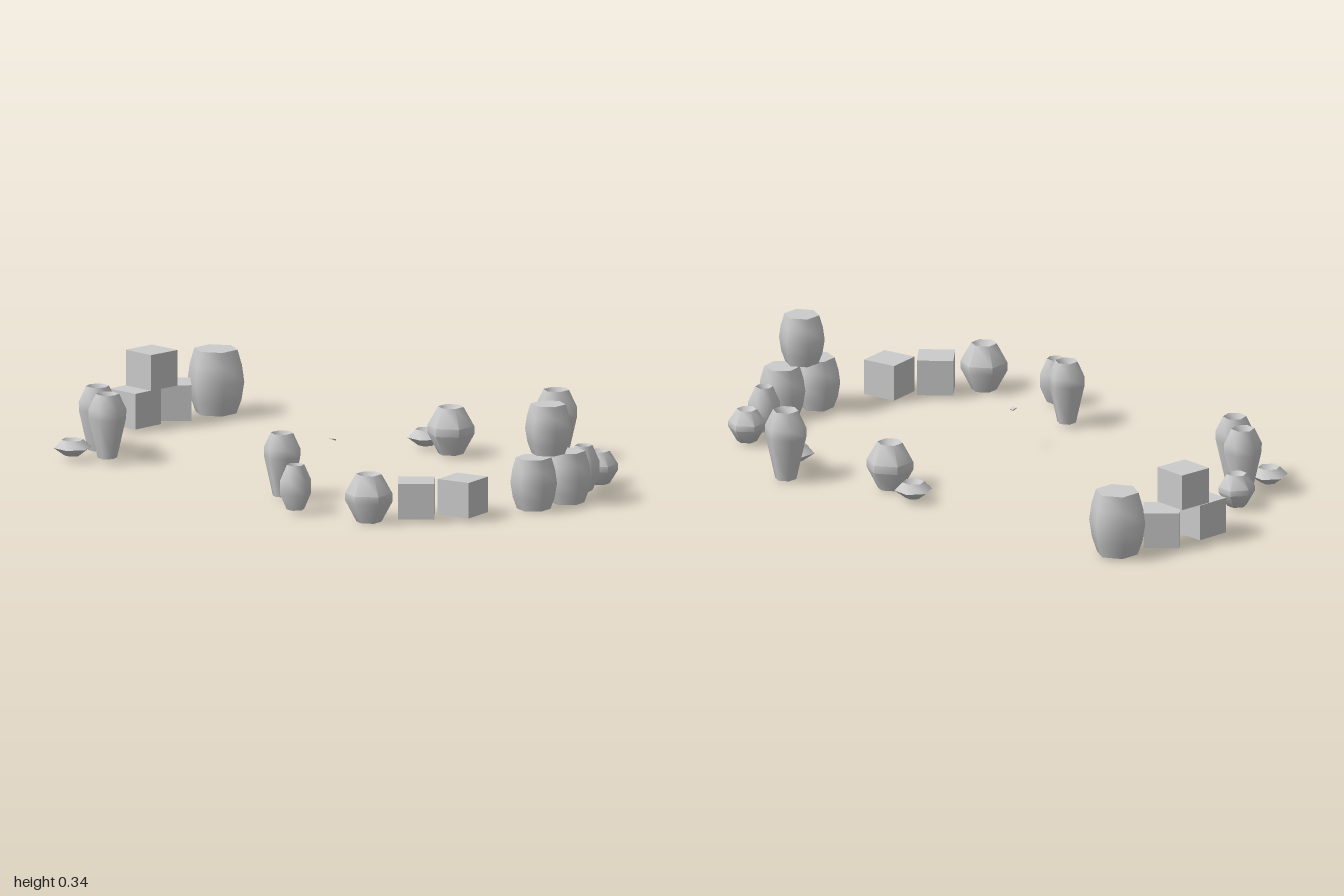
import * as THREE from 'three';
import { toCreasedNormals } from 'three/addons/utils/BufferGeometryUtils.js';

const grey = new THREE.MeshStandardMaterial({ color: 0xcccccc });

// Profiles as [radius, height] fractions of the vessel's radius and height
const profiles = {
  barrel: [[0, 0], [0.72, 0], [0.9, 0.22], [1, 0.5], [0.92, 0.76], [0.76, 1], [0, 1]],
  roundPot: [[0, 0], [0.52, 0], [0.98, 0.43], [0.98, 0.6], [0.53, 1], [0.36, 0.88], [0, 0.88]],
  ovalPot: [[0, 0], [0.55, 0], [0.97, 0.35], [0.97, 0.65], [0.54, 1], [0.38, 0.88], [0, 0.88]],
  tallVase: [[0, 0], [0.5, 0], [0.97, 0.62], [0.98, 0.76], [0.6, 1], [0.42, 0.9], [0, 0.9]],
  bowl: [[0, 0], [0.42, 0], [1, 0.5], [0.58, 1], [0.4, 0.7], [0, 0.7]],
};

// name, x, bottom y, z, radius, height, turn
const vessels = [
  ['barrel', -0.895, 0.005, -0.245, 0.096, 0.215, 0.08],
  ['barrel', 0.917, 0, -0.17, 0.077, 0.173, 0.3],
  ['barrel', 0.917, 0, -0.02, 0.077, 0.173, 0.25],
  ['barrel', 0.905, 0.173, -0.095, 0.077, 0.167, 0.15],
  ['roundPot', -0.767, 0.005, 0.375, 0.062, 0.11, 0.52],
  ['roundPot', 0.105, 0.005, -0.385, 0.08, 0.158, 0.15],
  ['roundPot', 0.783, 0.005, -0.433, 0.063, 0.11, 0.25],
  ['roundPot', 0.705, 0, 0.52, 0.08, 0.16, 0.2],
  ['ovalPot', 0.83, 0.005, -0.32, 0.054, 0.152, 0.4],
  ['ovalPot', 0.433, 0.01, 0.6, 0.054, 0.15, 0.52],
  ['tallVase', -0.685, 0.015, 0.47, 0.064, 0.215, 0.48],
  ['tallVase', -0.57, 0.015, 0.53, 0.064, 0.215, 0.38],
  ['tallVase', 0.245, 0.01, 0.49, 0.063, 0.212, 0.1],
  ['tallVase', 0.405, 0.003, -0.582, 0.072, 0.237, 0.1],
  ['bowl', -0.675, 0.015, 0.59, 0.063, 0.053, 0.52],
  ['bowl', -0.033, 0.01, -0.4, 0.063, 0.054, 0.52],
  ['bowl', 0.505, 0.015, -0.463, 0.07, 0.058, 0.1],
];

// x, bottom y, z, turn
const crates = [
  [-0.918, 0.01, 0.093, 0.07],
  [-0.917, 0.01, -0.073, -0.7],
  [-0.918, 0.13, 0.02, 0.03],
  [0.853, 0.01, 0.237, 0.28],
  [0.778, 0.01, 0.375, -0.75],
];

function addPart(group, name, geometry, x, y, z, turn) {
  const mesh = new THREE.Mesh(geometry, grey);
  mesh.name = name;
  mesh.position.set(x, y, z);
  mesh.rotation.y = turn;
  group.add(mesh);
  return mesh;
}

export function createModel() {
  const group = new THREE.Group();
  group.name = 'scatteredPotsAndCrates';

  // Six-sided barrels, pots, vases and bowls
  for (const [name, x, y, z, radius, height, turn] of vessels) {
    const points = profiles[name].map(([r, h]) => new THREE.Vector2(r * radius, h * height));
    const geometry = toCreasedNormals(new THREE.LatheGeometry(points, 6), 1.1);
    addPart(group, name, geometry, x, y, z, turn);
  }

  // Wooden crates, one stacked on two others
  const size = 0.12;
  for (const [x, y, z, turn] of crates) {
    addPart(group, 'crate', new THREE.BoxGeometry(size, size, size), x, y + size / 2, z, turn);
  }

  // Tiny tilted chip floating inside the ring
  const chip = addPart(group, 'chip', new THREE.BoxGeometry(0.016, 0.004, 0.016), 0.157, 0.143, 0.187, 0);
  chip.rotation.x = -0.3;

  return group;
}
